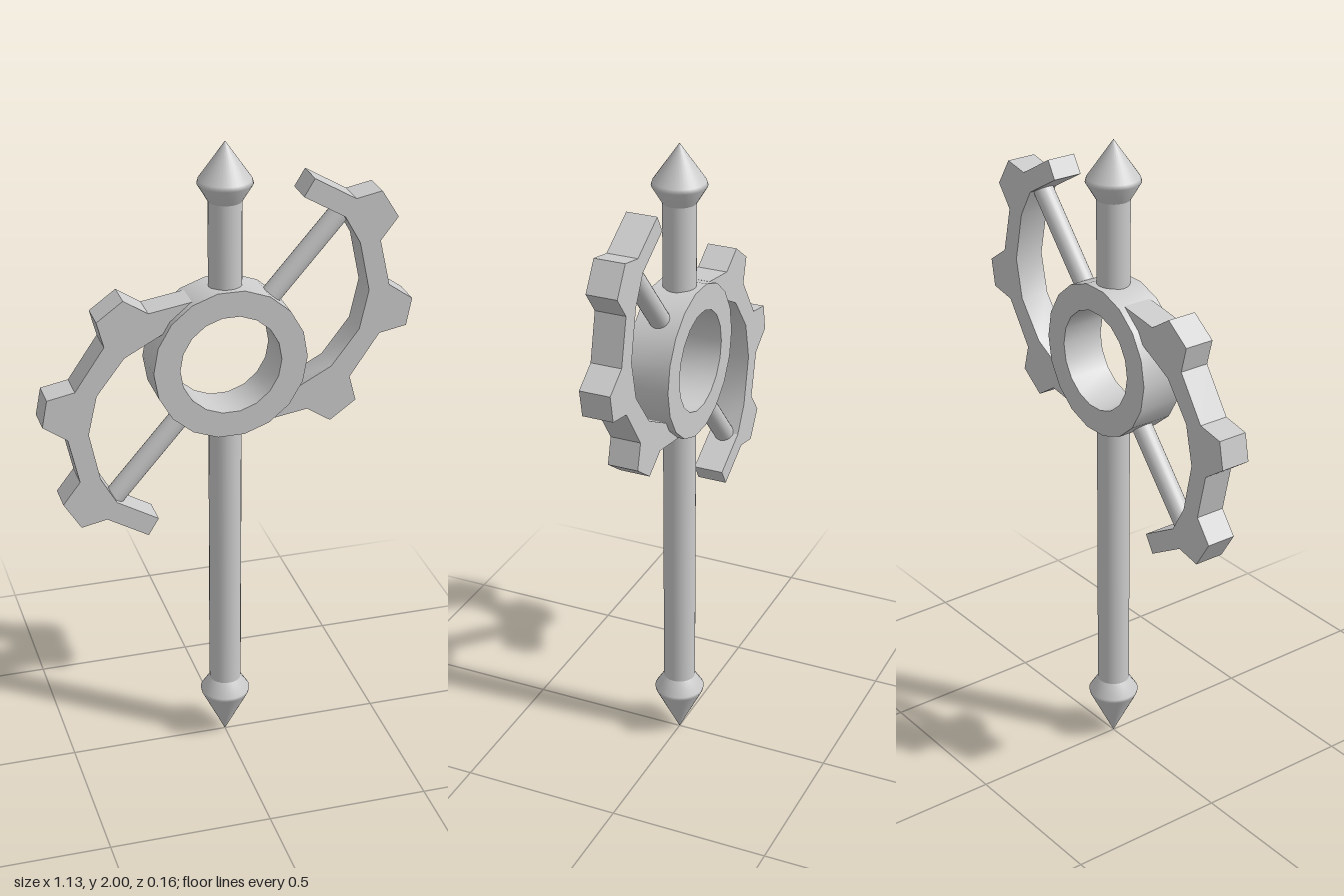
import * as THREE from 'three';
import { toCreasedNormals } from 'three/addons/utils/BufferGeometryUtils.js';

const material = new THREE.MeshStandardMaterial({ color: 0xcccccc });
const HUB_Y = 1.333;

function addMesh(parent, name, geometry) {
  const mesh = new THREE.Mesh(geometry, material);
  mesh.name = name;
  parent.add(mesh);
  return mesh;
}

// Plate cut from a shape, centred on z = 0
function plate(shape, depth, curveSegments = 1) {
  const g = new THREE.ExtrudeGeometry(shape, { depth, bevelEnabled: false, curveSegments });
  g.translate(0, 0, -depth / 2);
  return toCreasedNormals(g, 0.5);
}

// Round bar between two points
function rod(a, b, radius) {
  const dir = b.clone().sub(a);
  const g = new THREE.CylinderGeometry(radius, radius, dir.length(), 24);
  g.applyQuaternion(new THREE.Quaternion().setFromUnitVectors(
    new THREE.Vector3(0, 1, 0), dir.clone().normalize()));
  const mid = a.clone().add(b).multiplyScalar(0.5);
  return g.translate(mid.x, mid.y, mid.z);
}

function turned(profile) {
  return new THREE.LatheGeometry(profile.map(([r, y]) => new THREE.Vector2(r, y)), 32);
}

export function createModel() {
  const model = new THREE.Group();
  model.name = 'gearStaff';
  const v = (x, y) => new THREE.Vector3(x, y, 0);

  // Staff, interrupted by the open hub
  addMesh(model, 'lowerShaft', rod(v(0, 0.2), v(0, HUB_Y - 0.19), 0.05));
  addMesh(model, 'upperShaft', rod(v(0, HUB_Y + 0.19), v(0, 1.83), 0.05));

  // Pointed ends
  addMesh(model, 'topPoint', turned([[0.05, 1.822], [0.082, 1.875], [0.078, 1.888], [0, 2]]));
  addMesh(model, 'bottomPoint', turned([[0, 0], [0.075, 0.15], [0.078, 0.163], [0.05, 0.207]]));

  // Hub ring
  const ring = new THREE.Shape();
  ring.absarc(0, 0, 0.235, 0, Math.PI * 2, false);
  const hole = new THREE.Path();
  hole.absarc(0, 0, 0.155, 0, Math.PI * 2, true);
  ring.holes.push(hole);
  addMesh(model, 'hubRing', plate(ring, 0.137, 9)).position.y = HUB_Y;

  // Toothed arc, running from its free end round the teeth and back along the inside
  const arc = new THREE.Shape([
    [0.254, 0.545], [0.381, 0.471], [0.46, 0.487], [0.513, 0.402], [0.46, 0.333],
    [0.492, 0.19], [0.566, 0.138], [0.55, 0.053], [0.466, 0.037],
    [0.376, -0.095], [0.397, -0.175], [0.317, -0.233], [0.243, -0.185], [0.112, -0.206],
    [0.169, -0.132], [0.317, -0.053], [0.402, 0.058], [0.429, 0.18],
    [0.397, 0.333], [0.349, 0.418], [0.222, 0.492],
  ].map(([x, y]) => new THREE.Vector2(x, y)));
  const arcGeometry = plate(arc, 0.094);
  const spokeGeometry = rod(v(0.116, 0.153), v(0.36, 0.434), 0.031);

  // Two half gears, turned half a revolution from each other
  ['left', 'right'].forEach((side, i) => {
    const half = new THREE.Group();
    half.name = side + 'HalfGear';
    addMesh(half, side + 'ToothedArc', arcGeometry);
    addMesh(half, side + 'Spoke', spokeGeometry);
    half.position.y = HUB_Y;
    half.rotation.z = i * Math.PI;
    model.add(half);
  });

  return model;
}
